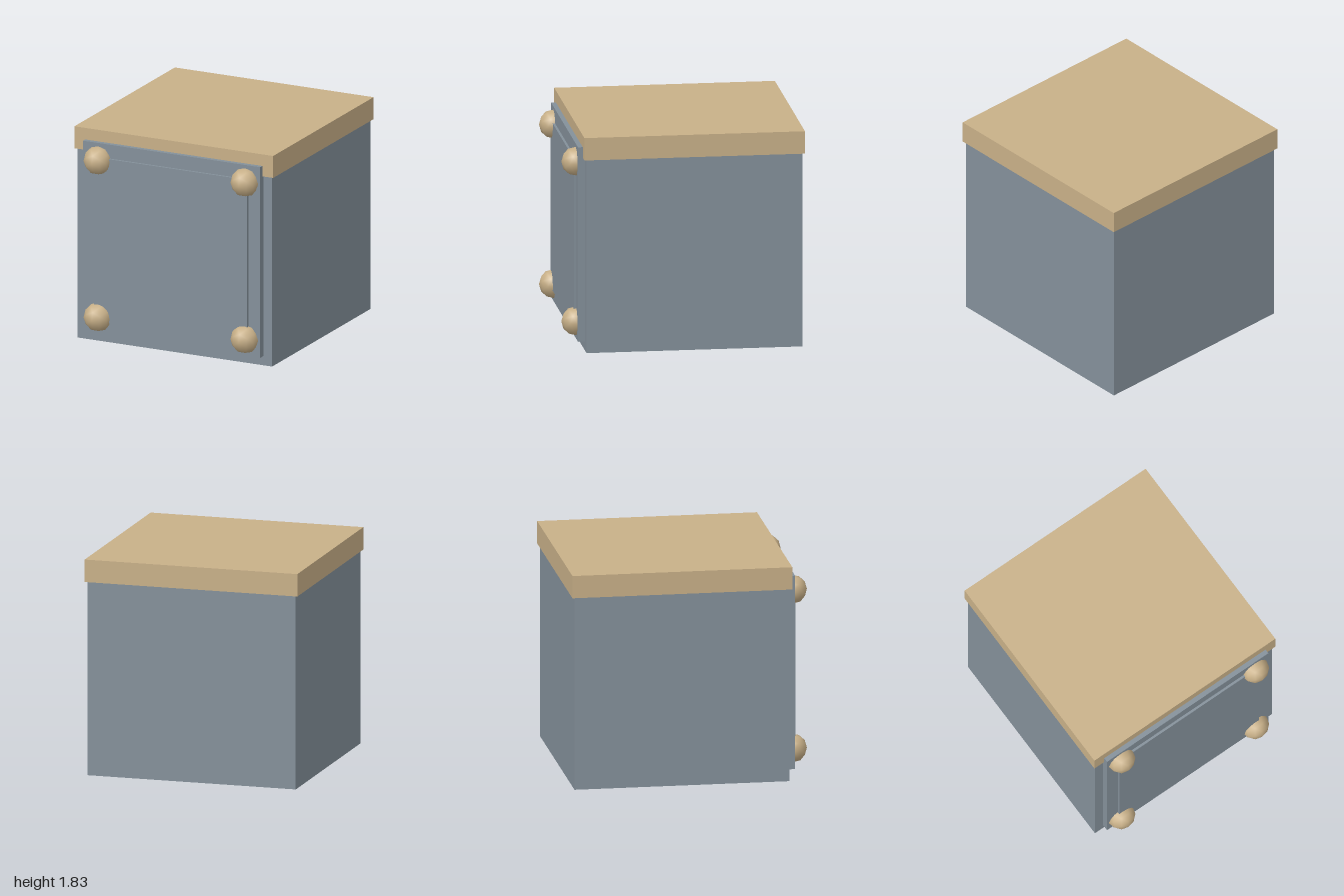
import * as THREE from 'three';

export function createModel() {
  const model = new THREE.Group();
  const slate = new THREE.MeshStandardMaterial({ color: 0x84909a });
  const tan = new THREE.MeshStandardMaterial({ color: 0xc8b088 });

  // Box given by its half width and its y and z ranges, centred on x = 0
  function block(name, halfWidth, [y0, y1], [z0, z1], material) {
    const mesh = new THREE.Mesh(new THREE.BoxGeometry(halfWidth * 2, y1 - y0, z1 - z0), material);
    mesh.position.set(0, (y0 + y1) / 2, (z0 + z1) / 2);
    mesh.name = name;
    model.add(mesh);
  }

  // Main box and overhanging lid
  block('body', 0.9, [0, 1.64], [-0.98, 0.82], slate);
  block('lid', 0.92, [1.64, 1.83], [-1, 0.84], tan);

  // Stepped front: backing plate and raised inner panel
  block('frontPlate', 0.82, [0.08, 1.73], [0.8, 0.88], slate);
  block('frontPanel', 0.71, [0.19, 1.61], [0.86, 0.9], slate);

  // Low-poly round stud in each corner of the front
  const studGeometry = new THREE.IcosahedronGeometry(0.122, 1);
  for (const x of [-0.68, 0.68]) {
    for (const y of [0.225, 1.58]) {
      const stud = new THREE.Mesh(studGeometry, tan);
      stud.position.set(x, y, 0.878);
      stud.name = (y > 1 ? 'upper' : 'lower') + (x > 0 ? 'Left' : 'Right') + 'Stud';
      model.add(stud);
    }
  }

  return model;
}
